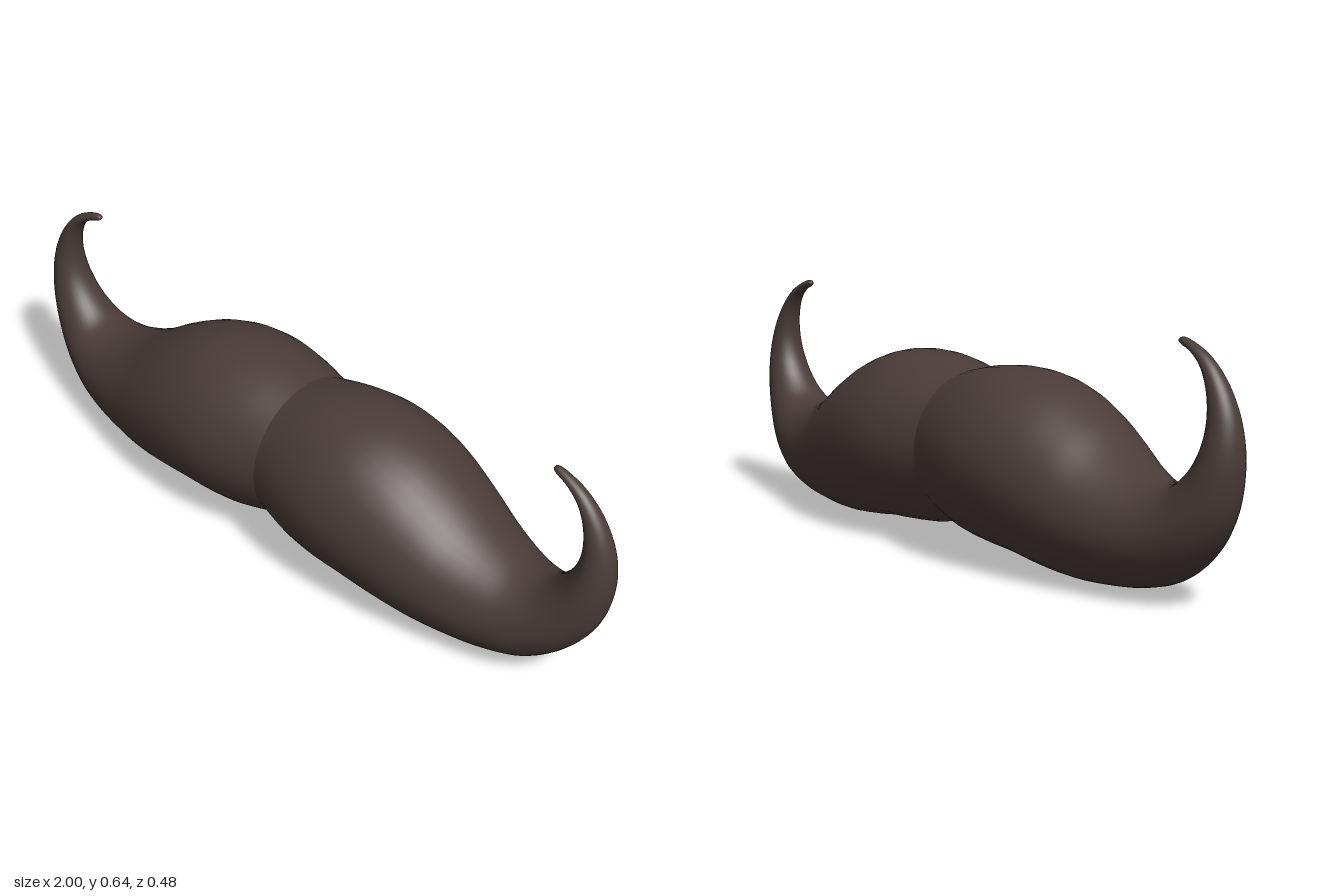
import * as THREE from 'three';

// Stations along one half: upper/inner edge x, y, lower/outer edge x, y, half depth in z
const STATIONS = [
  [0, 0.465, 0, 0.065, 0.2],
  [0.1, 0.487, 0.1, 0.037, 0.225],
  [0.2, 0.496, 0.2, 0.027, 0.239],
  [0.3, 0.487, 0.3, 0.02, 0.237],
  [0.4, 0.455, 0.4, 0.007, 0.224],
  [0.5, 0.4, 0.5, 0, 0.203],
  [0.59, 0.34, 0.61, 0.006, 0.176],
  [0.67, 0.303, 0.71, 0.02, 0.151],
  [0.74, 0.285, 0.81, 0.053, 0.127],
  [0.805, 0.292, 0.9, 0.125, 0.102],
  [0.86, 0.335, 0.965, 0.22, 0.077],
  [0.898, 0.395, 0.994, 0.315, 0.06],
  [0.912, 0.46, 1.0, 0.4, 0.046],
  [0.903, 0.525, 0.984, 0.48, 0.034],
  [0.876, 0.578, 0.944, 0.553, 0.024],
  [0.84, 0.606, 0.888, 0.606, 0.017],
  [0.808, 0.618, 0.814, 0.636, 0.01],
  [0.801, 0.624, 0.803, 0.633, 0.006],
  [0.8, 0.629, 0.8, 0.629, 0],
];
const RINGS = 108;
const SIDES = 40;

// Sweeps an elliptical section between the two edge curves
function halfGeometry(side) {
  const upper = new THREE.CatmullRomCurve3(STATIONS.map(s => new THREE.Vector3(s[0], s[1], s[4])));
  const lower = new THREE.CatmullRomCurve3(STATIONS.map(s => new THREE.Vector3(s[2], s[3], s[4])));
  const positions = [];
  const index = [];
  for (let i = 0; i <= RINGS; i++) {
    const t = i / RINGS;
    const u = upper.getPoint(t);
    const l = lower.getPoint(t);
    const depth = Math.max(0, (u.z + l.z) / 2);
    const zMid = -0.001 - 0.007 * t;
    for (let j = 0; j < SIDES; j++) {
      const a = (j / SIDES) * Math.PI * 2;
      const c = Math.cos(a) / 2;
      positions.push(
        side * ((u.x + l.x) / 2 + (u.x - l.x) * c),
        (u.y + l.y) / 2 + (u.y - l.y) * c,
        zMid + depth * Math.sin(a),
      );
    }
  }
  for (let i = 0; i < RINGS; i++) {
    for (let j = 0; j < SIDES; j++) {
      const a = i * SIDES + j;
      const b = i * SIDES + (j + 1) % SIDES;
      const c = a + SIDES;
      const d = b + SIDES;
      if (side > 0) index.push(a, c, b, b, c, d);
      else index.push(a, b, c, b, d, c);
    }
  }
  const geometry = new THREE.BufferGeometry();
  geometry.setAttribute('position', new THREE.Float32BufferAttribute(positions, 3));
  // Winding: upper edge turns towards +z while rings advance outwards
  geometry.setIndex(index.reverse());
  geometry.computeVertexNormals();
  return geometry;
}

export function createModel() {
  const group = new THREE.Group();
  group.name = 'moustache';
  const material = new THREE.MeshStandardMaterial({ color: 0x4a3c38, side: THREE.DoubleSide });
  // Two mirrored halves meeting in a crease at the centre
  for (const [side, name] of [[1, 'leftHalf'], [-1, 'rightHalf']]) {
    const mesh = new THREE.Mesh(halfGeometry(side), material);
    mesh.name = name;
    group.add(mesh);
  }
  return group;
}
